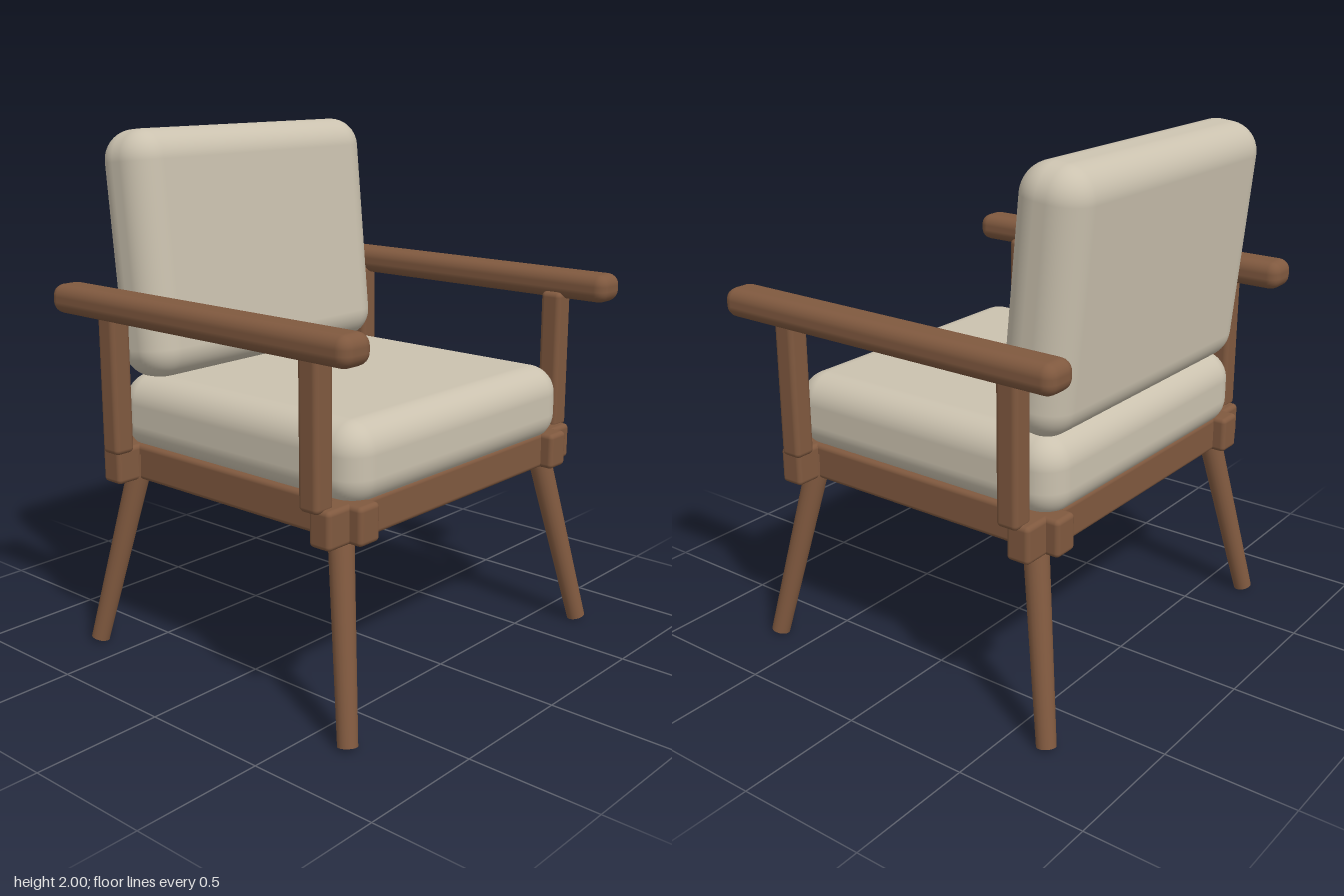
import * as THREE from 'three';
import { RoundedBoxGeometry } from 'three/addons/geometries/RoundedBoxGeometry.js';

const wood = new THREE.MeshStandardMaterial({ color: 0x80593f });
const fabric = new THREE.MeshStandardMaterial({ color: 0xcbc2af });

export function createModel() {
  const chair = new THREE.Group();
  chair.name = 'armchair';

  const add = (name, geometry, material, x, y, z) => {
    const mesh = new THREE.Mesh(geometry, material);
    mesh.name = name;
    mesh.position.set(x, y, z);
    chair.add(mesh);
    return mesh;
  };
  const block = (w, h, d, r, seg = 3) => new RoundedBoxGeometry(w, h, d, seg, r);

  // Upholstery
  add('seatCushion', block(1.26, 0.3, 1.22, 0.11, 6), fabric, 0, 0.935, 0);
  const back = add('backCushion', block(1.26, 0.93, 0.273, 0.115, 6), fabric, 0, 1.535, -0.515);
  back.rotation.x = THREE.MathUtils.degToRad(-5.5);

  // Seat frame: crossing rails whose ends run past each corner
  for (const s of [1, -1]) {
    add(s > 0 ? 'frontRail' : 'backRail', block(1.45, 0.14, 0.095, 0.018), wood, 0, 0.75, s * 0.533);
    add(s > 0 ? 'leftRail' : 'rightRail', block(0.103, 0.14, 1.26, 0.018), wood, s * 0.572, 0.75, 0);
  }

  // Armrests
  for (const sx of [1, -1]) {
    const side = sx > 0 ? 'left' : 'right';
    add(side + 'Armrest', block(0.142, 0.11, 1.47, 0.045), wood, sx * 0.749, 1.383, 0);

    for (const sz of [1, -1]) {
      const corner = side + (sz > 0 ? 'Front' : 'Back');
      // Arm post
      add(corner + 'ArmPost', block(0.088, 0.55, 0.088, 0.02), wood, sx * 0.706, 1.08, sz * 0.505);

      // Splayed, tapered leg
      const foot = new THREE.Vector3(sx * 0.717, 0.009, sz * 0.655);
      const top = new THREE.Vector3(sx * 0.586, 0.78, sz * 0.506);
      const axis = top.clone().sub(foot);
      const middle = top.clone().add(foot).multiplyScalar(0.5);
      const leg = add(corner + 'Leg', new THREE.CylinderGeometry(0.047, 0.036, axis.length(), 20),
        wood, middle.x, middle.y, middle.z);
      leg.quaternion.setFromUnitVectors(new THREE.Vector3(0, 1, 0), axis.normalize());
    }
  }
  return chair;
}
